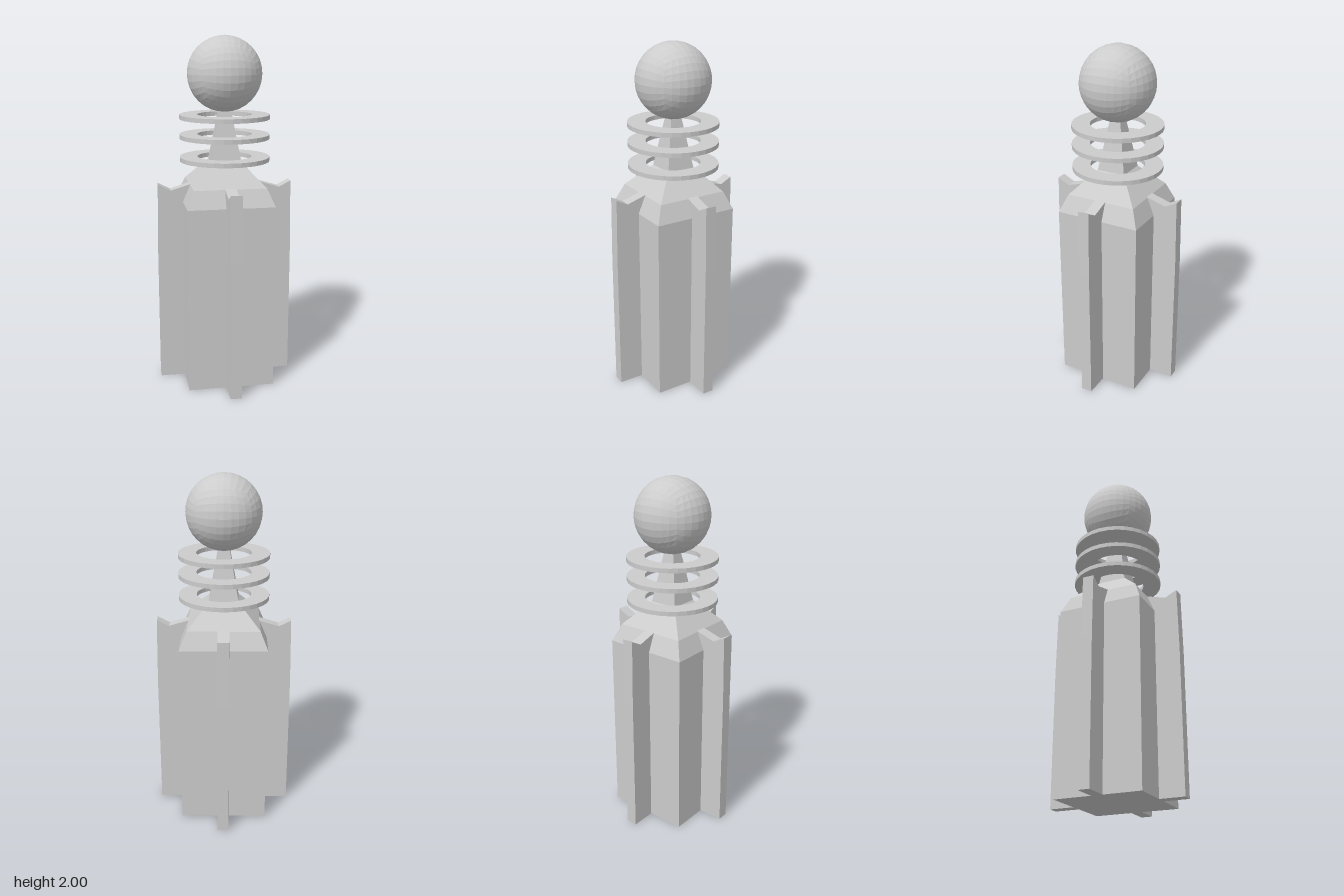
import * as THREE from 'three';

const material = new THREE.MeshStandardMaterial({ color: 0xcccccc, flatShading: true });

function addPart(parent, name, geometry) {
  const mesh = new THREE.Mesh(geometry, material);
  mesh.name = name;
  parent.add(mesh);
  return mesh;
}

// Square tower turned from a [half width, height] profile
function squareTower(profile) {
  const points = profile.map(([half, y]) => new THREE.Vector2(half * Math.SQRT2, y));
  return new THREE.LatheGeometry(points, 4, Math.PI / 4);
}

// Ball made by inflating a subdivided cube
function cubeBall(radius, segments) {
  const geometry = new THREE.BoxGeometry(2, 2, 2, segments, segments, segments);
  const position = geometry.attributes.position;
  const v = new THREE.Vector3();
  for (let i = 0; i < position.count; i++) {
    v.fromBufferAttribute(position, i);
    v.set(Math.tan(v.x * Math.PI / 4), Math.tan(v.y * Math.PI / 4), Math.tan(v.z * Math.PI / 4));
    v.setLength(radius);
    position.setXYZ(i, v.x, v.y, v.z);
  }
  geometry.computeVertexNormals();
  return geometry;
}

// Flat washer with a rectangular section
function washer(inner, outer, height) {
  const section = [[inner, 0], [outer, 0], [outer, height], [inner, height], [inner, 0]];
  return new THREE.LatheGeometry(section.map(([x, y]) => new THREE.Vector2(x, y)), 32);
}

// Upright fin with a notched top, reaching out along +x
function fin(thickness) {
  const outline = [[0.18, 0], [0.39, 0], [0.39, 0.8], [0.384, 1.175], [0.315, 1.14], [0.205, 1.173], [0.18, 1.18]];
  const shape = new THREE.Shape(outline.map(([x, y]) => new THREE.Vector2(x, y)));
  const geometry = new THREE.ExtrudeGeometry(shape, { depth: thickness, bevelEnabled: false });
  return geometry.translate(0, 0, -thickness / 2);
}

export function createModel() {
  const model = new THREE.Group();
  model.name = 'tower';

  // Square shaft, sloped shoulders and tapering neck
  addPart(model, 'body', squareTower([
    [0, 0], [0.247, 0], [0.247, 1.07], [0.205, 1.17], [0.083, 1.3], [0.03, 1.6], [0, 1.6],
  ]));

  // One fin on each side
  const finGeometry = fin(0.064);
  for (let i = 0; i < 4; i++) {
    addPart(model, `fin${i + 1}`, finGeometry).rotation.y = i * Math.PI / 2;
  }

  // Floating rings around the neck
  const ringGeometry = washer(0.155, 0.257, 0.025);
  [1.3, 1.428, 1.539].forEach((y, i) => {
    addPart(model, `ring${i + 1}`, ringGeometry).position.y = y;
  });

  // Ball on top
  addPart(model, 'ball', cubeBall(0.211, 8)).position.y = 1.789;

  return model;
}
